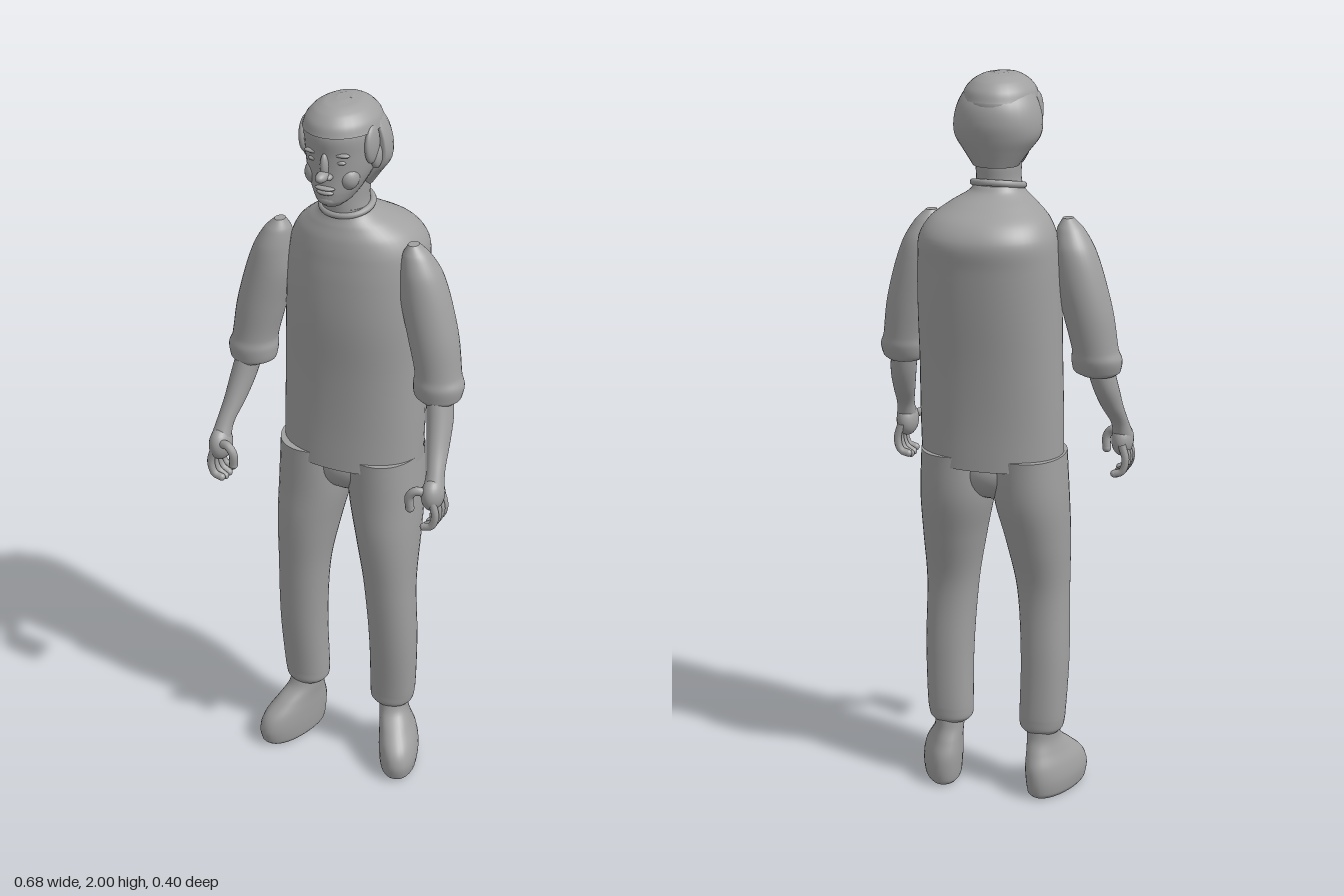
import * as THREE from 'three';

const grey = new THREE.MeshStandardMaterial({ color: 0xa0a0a0, side: THREE.DoubleSide });
grey.name = 'plain grey';

function part(group, name, geometry) {
  const mesh = new THREE.Mesh(geometry, grey);
  mesh.name = name;
  group.add(mesh);
  return mesh;
}

// Smooth skin through rings listed from the bottom up: [x, y, z, radiusX, radiusZ].
// power > 2 squares off the cross-section; side mirrors x.
function loft(rings, { side = 1, power = 2, steps = 6, around = 32 } = {}) {
  const centres = new THREE.CatmullRomCurve3(rings.map(r => new THREE.Vector3(r[0] * side, r[1], r[2])));
  const radii = new THREE.CatmullRomCurve3(rings.map(r => new THREE.Vector3(r[3], 0, r[4])), false, 'catmullrom', 0.5);
  const pos = [], index = [], n = (rings.length - 1) * steps;
  const bend = v => Math.sign(v) * Math.pow(Math.abs(v), 2 / power);
  const addRing = t => {
    const c = centres.getPoint(t), r = radii.getPoint(t);
    for (let j = 0; j < around; j++) {
      const a = (j / around) * Math.PI * 2;
      pos.push(c.x + bend(Math.cos(a)) * r.x, c.y, c.z + bend(Math.sin(a)) * r.z);
    }
    return c;
  };
  for (let i = 0; i <= n; i++) addRing(i / n);
  for (let i = 0; i < n; i++) {
    for (let j = 0; j < around; j++) {
      const k = (j + 1) % around, a = i * around, b = a + around;
      index.push(a + j, b + j, a + k, b + j, b + k, a + k);
    }
  }
  // End caps use their own ring so that the rim stays crisp.
  for (const t of [0, 1]) {
    const start = pos.length / 3, c = addRing(t), mid = pos.length / 3;
    pos.push(c.x, c.y, c.z);
    for (let j = 0; j < around; j++) {
      const p = start + j, q = start + (j + 1) % around;
      if (t) index.push(mid, q, p); else index.push(mid, p, q);
    }
  }
  const g = new THREE.BufferGeometry();
  g.setAttribute('position', new THREE.Float32BufferAttribute(pos, 3));
  g.setIndex(index);
  g.computeVertexNormals();
  return g;
}

function ellipsoid(x, y, z, rx, ry, rz) {
  return new THREE.SphereGeometry(1, 24, 16).scale(rx, ry, rz).translate(x, y, z);
}

// Bent finger with a rounded tip.
function finger(group, name, points, radius) {
  const curve = new THREE.CatmullRomCurve3(points.map(p => new THREE.Vector3(...p)));
  part(group, name, new THREE.TubeGeometry(curve, 12, radius, 10));
  part(group, name + 'Tip', ellipsoid(...points[points.length - 1], radius, radius, radius));
}

function buildHead() {
  const head = new THREE.Group();
  head.name = 'head';
  part(head, 'neck', loft([
    [0, 1.66, 0.01, 0.075, 0.07], [0, 1.72, 0.02, 0.06, 0.065],
    [0, 1.77, 0.02, 0.06, 0.068], [0, 1.82, 0.03, 0.06, 0.07]]));
  part(head, 'skull', loft([
    [0, 1.742, 0.095, 0.025, 0.035], [0, 1.757, 0.085, 0.044, 0.062], [0, 1.785, 0.07, 0.063, 0.08],
    [0, 1.83, 0.05, 0.083, 0.098], [0, 1.88, 0.04, 0.092, 0.11], [0, 1.93, 0.035, 0.094, 0.12],
    [0, 1.965, 0.035, 0.08, 0.102], [0, 1.988, 0.035, 0.055, 0.075], [0, 1.995, 0.035, 0.025, 0.035]]));
  // Hair: shell behind the ears, crown and fringe
  const back = loft([
    [0, 1.765, -0.005, 0.06, 0.055], [0, 1.80, 0, 0.085, 0.072], [0, 1.84, 0.01, 0.113, 0.095],
    [0, 1.88, 0.015, 0.117, 0.107], [0, 1.925, 0.02, 0.106, 0.105], [0, 1.965, 0.03, 0.083, 0.088],
    [0, 1.99, 0.035, 0.05, 0.06], [0, 2.0, 0.035, 0.02, 0.03]]);
  const p = back.attributes.position;
  for (let i = 0; i < p.count; i++) p.setZ(i, Math.min(p.getZ(i), 0.036));
  back.computeVertexNormals();
  part(head, 'backHair', back);
  part(head, 'crownHair', loft([
    [0, 1.935, 0.037, 0.099, 0.122], [0, 1.96, 0.037, 0.09, 0.113], [0, 1.982, 0.037, 0.07, 0.092],
    [0, 1.995, 0.037, 0.045, 0.065], [0, 2.0, 0.037, 0.015, 0.03]]));
  // Face
  part(head, 'noseBridge', ellipsoid(0, 1.858, 0.149, 0.011, 0.034, 0.015)).name = 'noseBridge';
  part(head, 'noseTip', ellipsoid(0, 1.835, 0.163, 0.015, 0.014, 0.026));
  part(head, 'upperLip', ellipsoid(0, 1.799, 0.148, 0.027, 0.006, 0.012));
  part(head, 'lowerLip', ellipsoid(0, 1.787, 0.146, 0.023, 0.007, 0.011));
  part(head, 'chin', ellipsoid(0, 1.764, 0.132, 0.025, 0.016, 0.018));
  for (const s of [1, -1]) {
    part(head, 'nostril', ellipsoid(s * 0.013, 1.831, 0.15, 0.009, 0.008, 0.014));
    part(head, 'eye', ellipsoid(s * 0.036, 1.868, 0.135, 0.015, 0.006, 0.008));
    part(head, 'brow', ellipsoid(s * 0.038, 1.888, 0.135, 0.024, 0.006, 0.011));
    part(head, 'cheek', ellipsoid(s * 0.045, 1.82, 0.105, 0.028, 0.032, 0.03));
    part(head, 'ear', ellipsoid(s * 0.093, 1.862, 0.045, 0.014, 0.032, 0.022));
    part(head, 'sideburn', ellipsoid(s * 0.09, 1.9, 0.065, 0.014, 0.05, 0.035));
  }
  return head;
}

function buildArm(s) {
  const arm = new THREE.Group();
  arm.name = s > 0 ? 'leftArm' : 'rightArm';
  part(arm, 'sleeve', loft([
    [0.272, 1.212, 0.04, 0.045, 0.045], [0.268, 1.222, 0.037, 0.062, 0.053], [0.268, 1.255, 0.032, 0.068, 0.061],
    [0.264, 1.285, 0.028, 0.062, 0.06], [0.246, 1.38, 0.022, 0.067, 0.065], [0.222, 1.48, 0.018, 0.066, 0.065],
    [0.208, 1.555, 0.018, 0.053, 0.058], [0.195, 1.605, 0.022, 0.035, 0.038], [0.188, 1.632, 0.024, 0.014, 0.018]],
    { side: s }));
  part(arm, 'forearm', loft([
    [0.312, 1.01, 0.158, 0.028, 0.032], [0.307, 1.055, 0.135, 0.024, 0.027], [0.296, 1.11, 0.095, 0.029, 0.036],
    [0.286, 1.17, 0.062, 0.034, 0.043], [0.272, 1.25, 0.035, 0.035, 0.045]], { side: s }));
  part(arm, 'palm', ellipsoid(s * 0.31, 1.0, 0.157, 0.03, 0.046, 0.042));
  for (let i = 0; i < 4; i++) {
    const z = 0.121 + i * 0.021, tip = 0.9 + Math.abs(i - 1.5) * 0.007;
    finger(arm, 'finger', [[s * 0.317, 0.995, z], [s * 0.328, 0.95, z], [s * 0.318, 0.918, z], [s * 0.297, tip, z]], 0.0105);
  }
  finger(arm, 'thumb', [[s * 0.305, 1.01, 0.175], [s * 0.272, 1.014, 0.188], [s * 0.257, 0.995, 0.19], [s * 0.258, 0.96, 0.187]], 0.012);
  return arm;
}

function buildLeg(s) {
  const leg = new THREE.Group();
  leg.name = s > 0 ? 'leftLeg' : 'rightLeg';
  part(leg, 'trouserLeg', loft([
    [0.132, 0.185, 0, 0.05, 0.046], [0.132, 0.197, 0, 0.06, 0.053], [0.134, 0.23, 0, 0.064, 0.056],
    [0.138, 0.4, 0.01, 0.067, 0.065], [0.13, 0.6, 0.018, 0.072, 0.074], [0.118, 0.75, 0.004, 0.087, 0.1],
    [0.105, 0.87, -0.013, 0.099, 0.117], [0.099, 1.0, -0.018, 0.098, 0.125]], { side: s, power: 2.15 }));
  // Shoe turned outwards
  const shoe = part(leg, 'shoe', loft([
    [0, 0, 0, 0.044, 0.1], [0, 0.012, 0, 0.052, 0.113], [0, 0.05, 0, 0.056, 0.12],
    [-0.004, 0.09, -0.007, 0.053, 0.112], [-0.012, 0.13, -0.022, 0.045, 0.083],
    [-0.018, 0.165, -0.036, 0.041, 0.055], [-0.018, 0.21, -0.042, 0.042, 0.043]], { side: s, power: 2.2 }));
  shoe.position.set(s * 0.168, 0, 0.03);
  shoe.rotation.y = s * 0.34;
  return leg;
}

export function createModel() {
  const figure = new THREE.Group();
  figure.name = 'standingFigure';
  part(figure, 'shirt', loft([
    [0.004, 0.97, -0.018, 0.194, 0.13], [0.005, 1.1, -0.022, 0.195, 0.13], [0.006, 1.25, -0.027, 0.193, 0.137],
    [0.008, 1.4, -0.032, 0.192, 0.15], [0.008, 1.52, -0.04, 0.188, 0.155], [0.008, 1.59, -0.046, 0.18, 0.155],
    [0.006, 1.635, -0.035, 0.155, 0.137], [0.003, 1.67, -0.012, 0.112, 0.103],
    [0, 1.695, 0.008, 0.075, 0.075], [0, 1.715, 0.017, 0.062, 0.066]], { power: 2.2, around: 48 }));
  // Collar band, dipping at the front
  const collar = part(figure, 'collar', new THREE.TorusGeometry(0.066, 0.009, 10, 40));
  collar.rotation.x = Math.PI / 2 + 0.2;
  collar.position.set(0, 1.712, 0.017);
  part(figure, 'seat', ellipsoid(0, 0.95, -0.015, 0.12, 0.09, 0.105));
  figure.add(buildHead());
  for (const s of [1, -1]) figure.add(buildArm(s), buildLeg(s));
  return figure;
}
